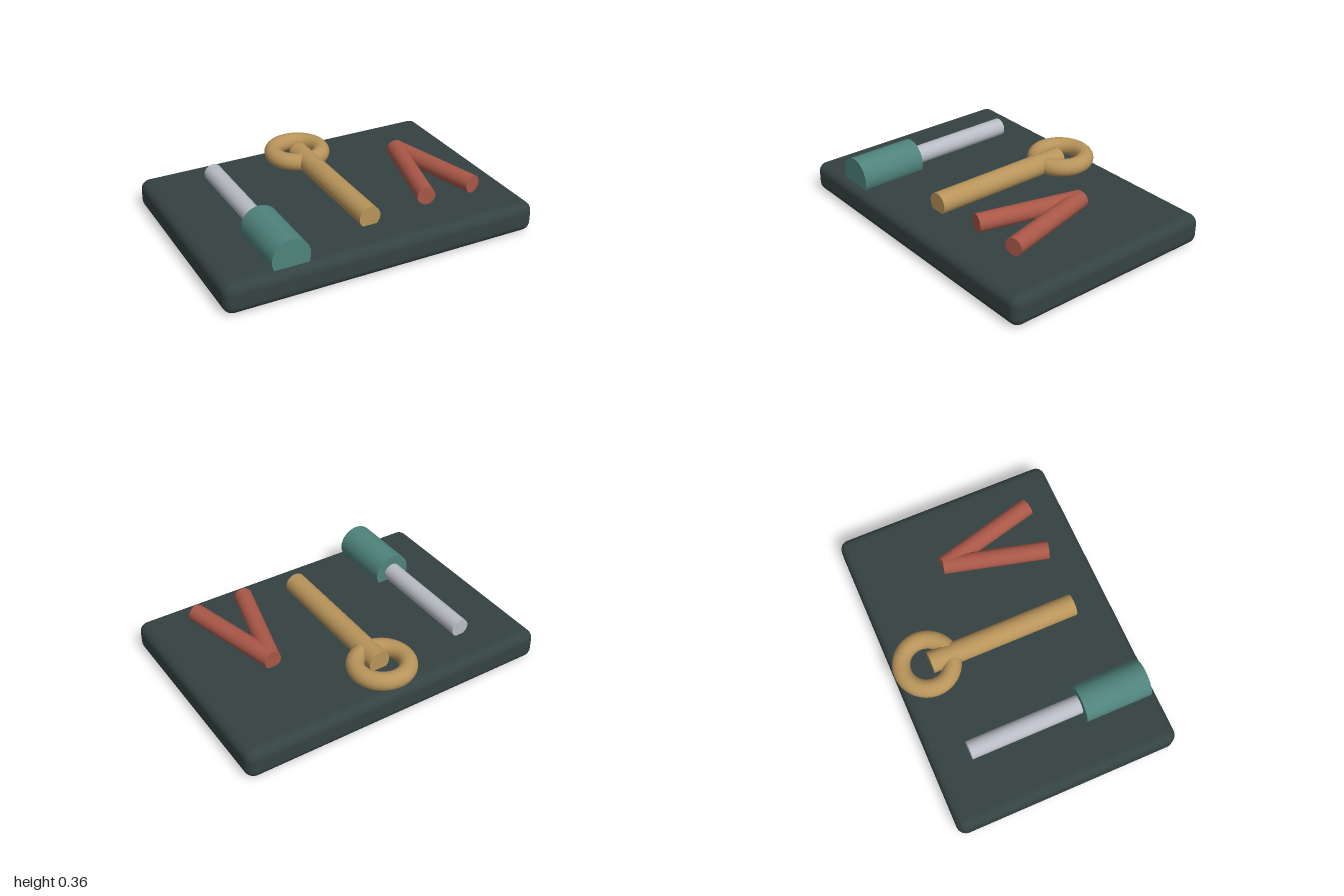
import * as THREE from 'three';
import { RoundedBoxGeometry } from 'three/addons/geometries/RoundedBoxGeometry.js';

function material(name, color) {
  const m = new THREE.MeshStandardMaterial({ color });
  m.name = name;
  return m;
}

export function createModel() {
  const model = new THREE.Group();
  model.name = 'toolTray';

  const slate = material('dark slate', 0x354242);
  const teal = material('teal', 0x4f837c);
  const brass = material('brass', 0xb8945a);
  const red = material('brick red', 0xa95747);
  const silver = material('silver', 0xb9bcc4);

  const add = (name, geometry, mat, x, y, z) => {
    const mesh = new THREE.Mesh(geometry, mat);
    mesh.name = name;
    mesh.position.set(x, y, z);
    model.add(mesh);
    return mesh;
  };

  // Rod lying flat along z, optionally turned about y
  const rod = (name, r, length, mat, x, y, z, turn = 0) => {
    const geometry = new THREE.CylinderGeometry(r, r, length, 32);
    geometry.rotateX(Math.PI / 2);
    add(name, geometry, mat, x, y, z).rotation.y = turn;
  };

  // Rounded slab
  add('tray', new RoundedBoxGeometry(2, 0.19, 1.406, 5, 0.06), slate, 0, 0.095, 0);

  // Screwdriver, half sunk in the tray
  rod('screwdriverHandle', 0.117, 0.42, teal, -0.59, 0.24, 0.447);
  rod('screwdriverShaft', 0.057, 0.72, silver, -0.59, 0.24, -0.11);

  // Ring spanner
  rod('spannerShaft', 0.068, 0.94, brass, 0, 0.24, -0.003);
  const ring = new THREE.TorusGeometry(0.155, 0.055, 20, 48);
  ring.rotateX(Math.PI / 2);
  add('spannerRing', ring, brass, 0, 0.241, -0.495);

  // Plier legs meeting at the back
  for (const side of [-1, 1]) {
    const name = side > 0 ? 'leftPlierLeg' : 'rightPlierLeg';
    rod(name, 0.055, 0.656, red, 0.538 + side * 0.081, 0.285, 0.153, side * 0.25);
  }

  return model;
}
